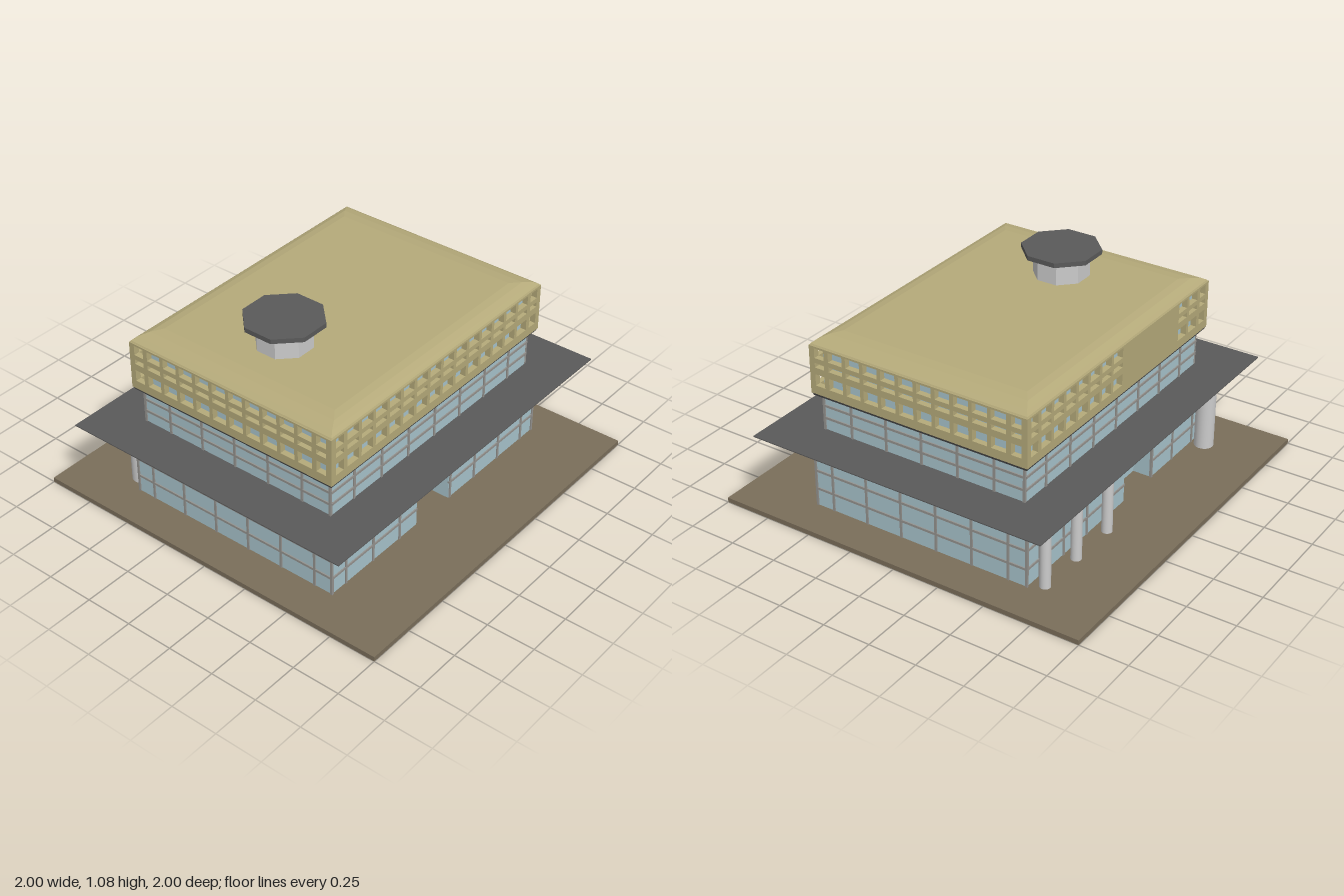
import * as THREE from 'three';

const mat = (color, side = THREE.FrontSide) =>
  new THREE.MeshStandardMaterial({ color, flatShading: true, side });
const GLASS = mat(0xa8c4cc), DARK = mat(0x5a5a5a), TAN = mat(0xb5aa7a);
const EARTH = mat(0x7a6e5a), GREY = mat(0xcccccc), BAR = mat(0x94928e);

function add(parent, name, geometry, material, x = 0, y = 0, z = 0) {
  const mesh = new THREE.Mesh(geometry, material);
  mesh.name = name;
  mesh.position.set(x, y, z);
  parent.add(mesh);
  return mesh;
}

// Box given by its two extreme corners
function block(parent, name, material, [x0, y0, z0], [x1, y1, z1]) {
  return add(parent, name, new THREE.BoxGeometry(x1 - x0, y1 - y0, z1 - z0), material,
    (x0 + x1) / 2, (y0 + y1) / 2, (z0 + z1) / 2);
}

// Solid from stacked rectangles [halfX, halfZ, y], bottom to top, with mitred corners
function stack(rings) {
  const pos = [], idx = [];
  const quad = (a, b, c, d) => {
    const n = pos.length / 3;
    pos.push(...a, ...b, ...c, ...d);
    idx.push(n, n + 1, n + 2, n, n + 2, n + 3);
  };
  const corners = ([x, z, y]) => [[-x, y, z], [x, y, z], [x, y, -z], [-x, y, -z]];
  for (let i = 0; i + 1 < rings.length; i++) {
    const a = corners(rings[i]), b = corners(rings[i + 1]);
    for (let k = 0; k < 4; k++) quad(a[k], a[(k + 1) % 4], b[(k + 1) % 4], b[k]);
  }
  quad(...corners(rings[rings.length - 1]));
  quad(...corners(rings[0]).reverse());
  const g = new THREE.BufferGeometry();
  g.setAttribute('position', new THREE.Float32BufferAttribute(pos, 3));
  g.setIndex(idx);
  g.computeVertexNormals();
  return g;
}

// Evenly spaced values symmetric about zero
const spread = (count, step) =>
  Array.from({ length: count }, (_, i) => (i - (count - 1) / 2) * step);

const DOOR_TOP = 0.22;
const DOORS = { 1: { z0: -0.09, z1: 0.165, depth: 0.14 }, [-1]: { z0: 0.04, z1: 0.3, depth: 0.1 } };

// Mullions and transoms around a glazed storey; openings are kept free
function glazingBars(hx, hz, y0, y1, xs, zs, ys, doors) {
  const g = new THREE.Group();
  g.name = 'glazingBars';
  const t = 0.006;
  for (const s of [-1, 1]) {
    for (const x of xs) block(g, 'mullion', BAR, [x - t, y0, s * hz - t], [x + t, y1, s * hz + t]);
    for (const y of ys) block(g, 'transom', BAR, [-hx, y - t, s * hz - t], [hx, y + t, s * hz + t]);
    const d = doors && doors[s];
    for (const z of zs) {
      const low = d && z > d.z0 && z < d.z1 ? DOOR_TOP : y0;
      block(g, 'mullion', BAR, [s * hx - t, low, z - t], [s * hx + t, y1, z + t]);
    }
    for (const y of ys) {
      const runs = d && y < DOOR_TOP - t ? [[-hz, d.z0], [d.z1, hz]] : [[-hz, hz]];
      for (const [a, b] of runs)
        block(g, 'transom', BAR, [s * hx - t, y - t, a], [s * hx + t, y + t, b]);
    }
  }
  return g;
}

// Pierced facade panel of the top storey, facing +z, with its outer face at z = 0
const ROWS = [[0.69, 0.75], [0.785, 0.81], [0.835, 0.885]];
function latticePanel(half, blank) {
  const y0 = 0.645, y1 = 0.895, depth = 0.03;
  const rect = (Type, a, b, c, d) => new Type([[a, c], [b, c], [b, d], [a, d]]
    .map(([x, y]) => new THREE.Vector2(x, y)));
  const shape = rect(THREE.Shape, -half, half, y0, y1);
  const bays = spread(Math.round(half * 20 - 2), 0.1).map(c => [c - 0.04, c + 0.04]);
  bays.push([-half + 0.03, -half + 0.085], [half - 0.085, half - 0.03]);
  for (const [a, b] of bays) {
    if (blank && b > blank[0] && a < blank[1]) continue;
    for (const [c, d] of ROWS) shape.holes.push(rect(THREE.Path, a, b, c, d));
  }
  return new THREE.ExtrudeGeometry(shape, { depth, bevelEnabled: false }).translate(0, 0, -depth);
}

export function createModel() {
  const model = new THREE.Group();
  model.name = 'building';

  block(model, 'groundSlab', EARTH, [-1, 0, -1], [1, 0.025, 1]);

  // Lower storey: doorways are recessed into both long sides
  const R = DOORS[1], L = DOORS[-1];
  const plan = new THREE.Shape([
    [-0.6, -0.8], [0.6, -0.8],
    [0.6, -R.z1], [0.6 - R.depth, -R.z1], [0.6 - R.depth, -R.z0], [0.6, -R.z0],
    [0.6, 0.8], [-0.6, 0.8],
    [-0.6, -L.z0], [-0.6 + L.depth, -L.z0], [-0.6 + L.depth, -L.z1], [-0.6, -L.z1],
  ].map(([x, y]) => new THREE.Vector2(x, y)));
  const base = new THREE.ExtrudeGeometry(plan, { depth: DOOR_TOP - 0.025, bevelEnabled: false });
  add(model, 'entranceStorey', base.rotateX(-Math.PI / 2), GLASS, 0, 0.025, 0);
  block(model, 'lowerStorey', GLASS, [-0.6, DOOR_TOP, -0.8], [0.6, 0.41, 0.8]);
  model.add(glazingBars(0.6, 0.8, 0.025, 0.41, [-0.6, ...spread(6, 0.2), 0.6],
    spread(8, 0.2), [0.12, 0.22, 0.32], DOORS));

  // Columns along one long side, the corner one thicker
  for (const [z, r] of [[-0.75, 0.027], [-0.49, 0.027], [-0.22, 0.027], [0.72, 0.05]]) {
    const column = add(model, 'column', new THREE.CylinderGeometry(r, r, 0.385, 24, 1),
      new THREE.MeshStandardMaterial({ color: 0xcccccc }), -0.665, 0.2175, z);
    column.name = r > 0.04 ? 'cornerColumn' : 'column';
  }

  // Canopy with a curved underside
  add(model, 'canopy', stack([
    [0.65, 0.85, 0.404], [0.7, 0.9, 0.407], [0.75, 0.95, 0.415],
    [0.785, 0.985, 0.426], [0.8, 1, 0.436], [0.8, 1, 0.441],
  ]), DARK);

  // Middle storey
  block(model, 'middleStorey', GLASS, [-0.565, 0.44, -0.76], [0.565, 0.62, 0.76]);
  model.add(glazingBars(0.565, 0.76, 0.44, 0.62, [-0.56, ...spread(5, 0.2), 0.56],
    spread(7, 0.2), [0.505, 0.57]));

  // Top storey: soffit, glass core and pierced facade
  add(model, 'soffit', stack([
    [0.55, 0.75, 0.614], [0.575, 0.775, 0.619], [0.592, 0.792, 0.63], [0.6, 0.8, 0.647],
  ]), DARK);
  block(model, 'topStoreyGlass', GLASS, [-0.555, 0.645, -0.755], [0.555, 0.895, 0.755]);
  const facade = new THREE.Group();
  facade.name = 'facade';
  model.add(facade);
  for (const s of [1, -1]) {
    add(facade, 'endLattice', latticePanel(0.6), TAN, 0, 0, s * 0.8)
      .rotation.y = s > 0 ? 0 : Math.PI;
    // One long side has a solid stretch above the entrance
    add(facade, 'sideLattice', latticePanel(0.8, s < 0 ? [0.08, 0.5] : null), TAN, s * 0.6, 0, 0)
      .rotation.y = s * Math.PI / 2;
  }

  // Roof with rounded eaves
  add(model, 'roof', stack([
    [0.6, 0.8, 0.89], [0.594, 0.792, 0.902], [0.575, 0.765, 0.918],
    [0.545, 0.715, 0.93], [0.505, 0.66, 0.936],
  ]), TAN);

  // Octagonal roof turret
  const octagon = (apothem, h) =>
    new THREE.CylinderGeometry(apothem / Math.cos(Math.PI / 8), apothem / Math.cos(Math.PI / 8), h, 8)
      .rotateY(Math.PI / 8);
  add(model, 'turret', octagon(0.13, 0.13), GREY, 0, 0.995, 0.4);
  add(model, 'turretCap', octagon(0.184, 0.024), DARK, 0, 1.068, 0.4);

  return model;
}
